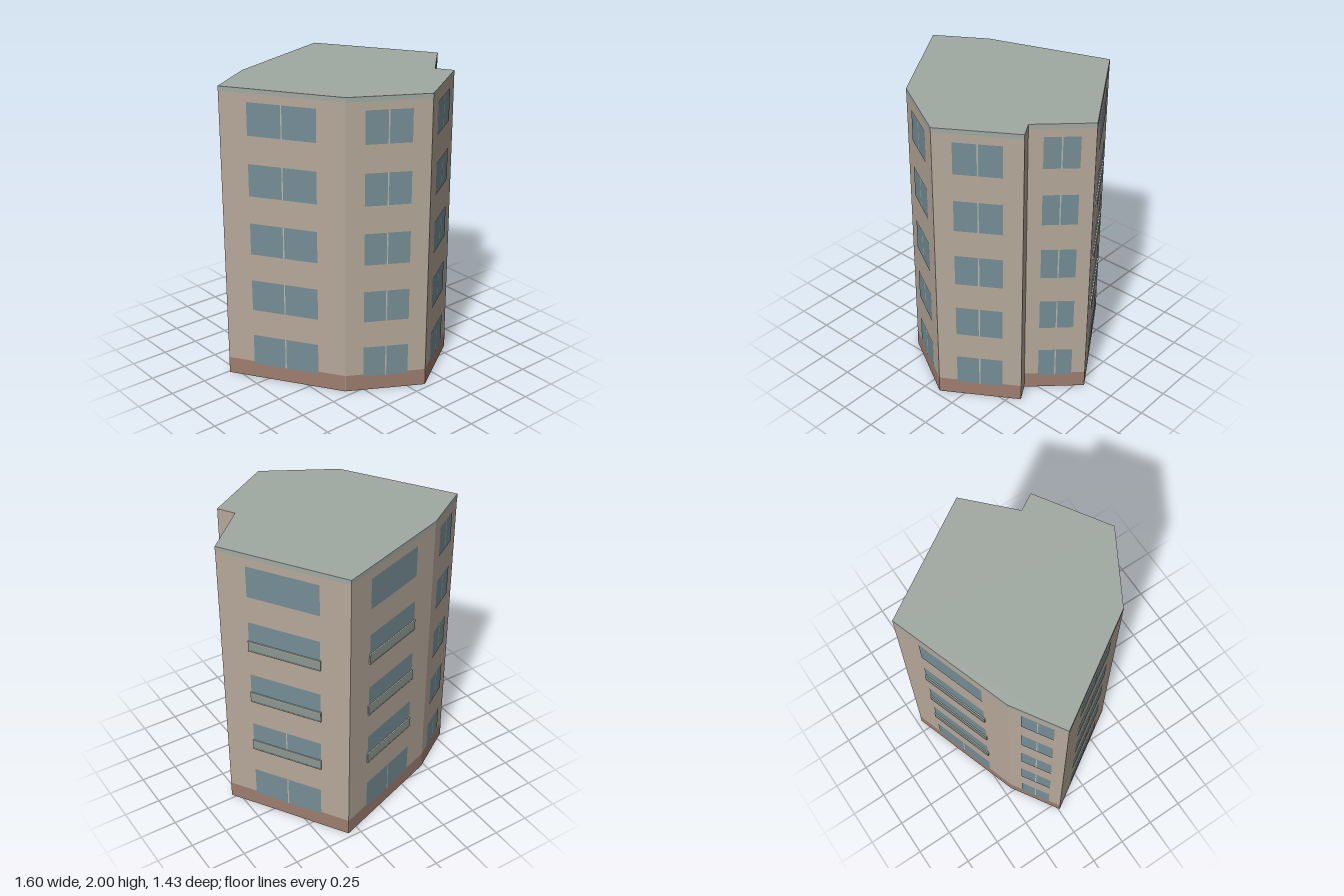
import * as THREE from 'three';

const mat = (color, side = THREE.FrontSide) => new THREE.MeshStandardMaterial({ color, side });

export function createModel() {
  const model = new THREE.Group();
  model.name = 'apartmentBlock';
  const wallMat = mat(0xb5a899, THREE.DoubleSide);
  const roofMat = mat(0xa0a9a2, THREE.DoubleSide);
  const trimMat = mat(0xa0a9a2);
  const plinthMat = mat(0x9d7d6e);
  const glassMat = mat(0x758e95);
  const frameMat = mat(0xb5b8ad);
  const railMat = mat(0x8c9892, THREE.DoubleSide);

  const H = 2, FLOORS = 5, PITCH = 0.4;

  // Footprint corners (x, z), running counter-clockwise seen from above
  const plan = [
    [-0.8, -0.24], [-0.36, 0.45], [0.105, 0.715], [0.57, 0.42],
    [0.505, 0.31], [0.797, 0.03], [0.327, -0.717], [-0.475, -0.445],
  ];
  // What each wall carries: small windows, nothing, or wide windows with balconies
  const kinds = ['small', 'small', 'small', 'plain', 'small', 'wide', 'wide', 'small'];
  // How many of the lowest wide windows have a centre bar, per wall
  const barredFloors = { 5: 2, 6: 1 };

  // Flat panel lying in the plane of a wall, from (x0, y0) to (x1, y1)
  const panel = (parent, name, material, x0, x1, y0, y1, z) => {
    const m = new THREE.Mesh(new THREE.PlaneGeometry(x1 - x0, y1 - y0), material);
    m.position.set((x0 + x1) / 2, (y0 + y1) / 2, z);
    m.name = name;
    parent.add(m);
  };
  // Block standing out of a wall by a given depth
  const block = (parent, name, material, x0, x1, y0, y1, depth) => {
    const m = new THREE.Mesh(new THREE.BoxGeometry(x1 - x0, y1 - y0, depth), material);
    m.position.set((x0 + x1) / 2, (y0 + y1) / 2, depth / 2);
    m.name = name;
    parent.add(m);
  };

  plan.forEach(([x, z], i) => {
    const [nx, nz] = plan[(i + 1) % plan.length];
    const L = Math.hypot(nx - x, nz - z);
    // Local x runs along the wall, local z points outward
    const side = new THREE.Group();
    side.name = `facade${i + 1}`;
    side.position.set(x, 0, z);
    side.rotation.y = Math.atan2(-(nz - z), nx - x);
    model.add(side);

    panel(side, 'wall', wallMat, 0, L, 0, H, 0);
    if (kinds[i] === 'plain') return;
    panel(side, 'plinth', plinthMat, 0, L, 0, 0.115, 0.0015);
    panel(side, 'roofTrim', trimMat, 0, L, 1.97, H, 0.0015);

    const x0 = L * 0.225, x1 = L * 0.775, mid = L / 2;
    for (let f = 0; f < FLOORS; f++) {
      const y = 0.1 + f * PITCH;
      panel(side, 'window', glassMat, x0, x1, y, y + 0.215, 0.003);
      if (kinds[i] === 'small' || f < barredFloors[i])
        panel(side, 'windowBar', frameMat, mid - 0.004, mid + 0.004, y, y + 0.215, 0.0045);
      // Shallow balconies on the middle floors
      if (kinds[i] === 'wide' && f > 0 && f < FLOORS - 1) {
        const a = x0 - 0.004, b = x1 + 0.004;
        block(side, 'balconySlab', frameMat, a, b, y, y + 0.007, 0.011);
        block(side, 'balconyPanel', railMat, a, b, y + 0.007, y + 0.068, 0.009);
        block(side, 'balconyRail', frameMat, a, b, y + 0.068, y + 0.075, 0.011);
      }
    }
  });

  // Flat roof; the underside of the building stays open
  const outline = new THREE.Shape(plan.map(([x, z]) => new THREE.Vector2(x, -z)));
  const roof = new THREE.Mesh(new THREE.ShapeGeometry(outline).rotateX(-Math.PI / 2), roofMat);
  roof.position.y = H;
  roof.name = 'roof';
  model.add(roof);

  return model;
}
